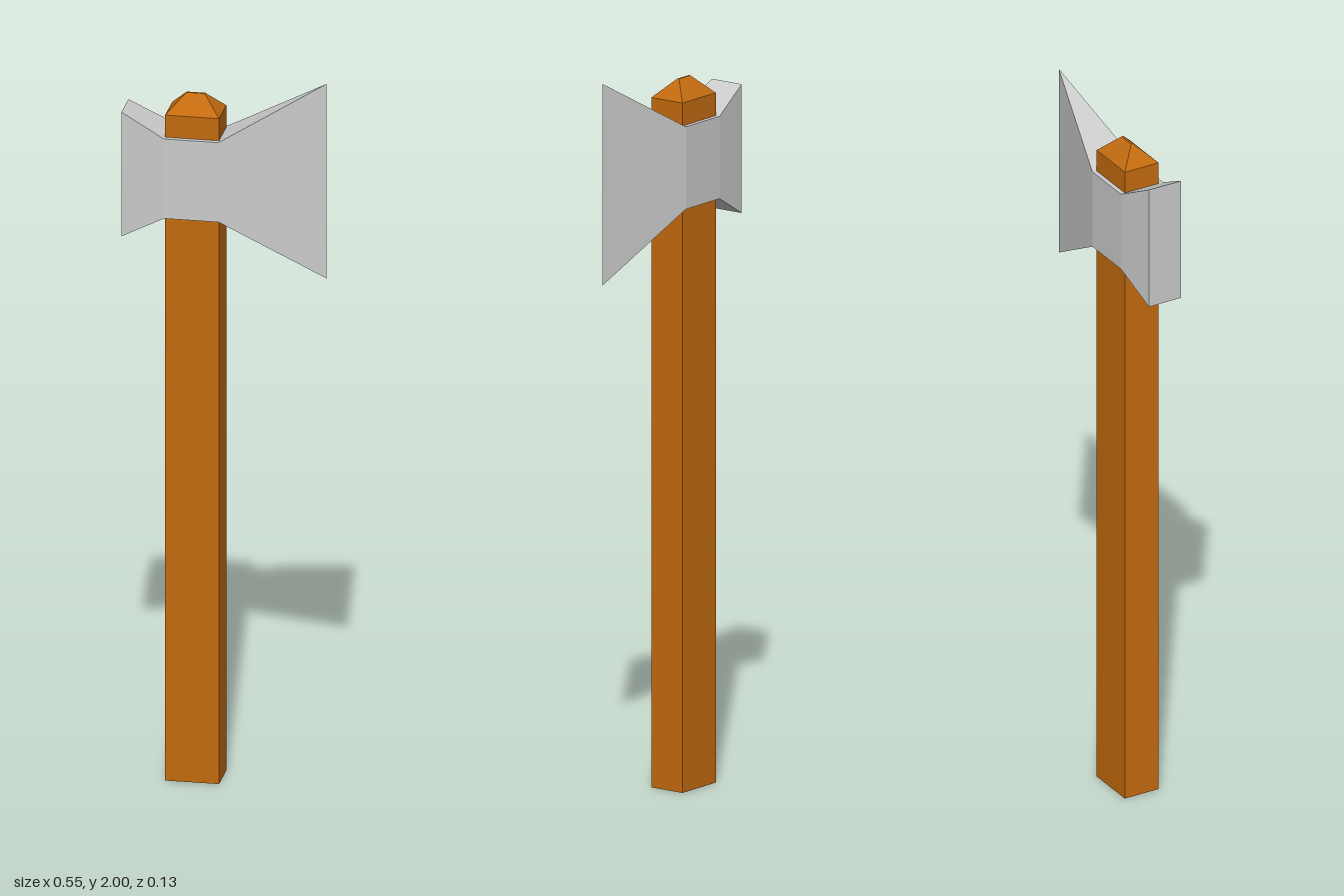
import * as THREE from 'three';

const grey = new THREE.MeshStandardMaterial({ color: 0xcccccc, flatShading: true });
const wood = new THREE.MeshStandardMaterial({ color: 0xc36b0f, flatShading: true });

// Moves every vertex of a unit box by a rule and recomputes flat normals.
function shapedBox(name, material, segments, rule) {
  const geometry = new THREE.BoxGeometry(1, 1, 1, ...segments);
  const position = geometry.attributes.position;
  const v = new THREE.Vector3();
  for (let i = 0; i < position.count; i++) {
    rule(v.fromBufferAttribute(position, i));
    position.setXYZ(i, v.x, v.y, v.z);
  }
  geometry.computeVertexNormals();
  const mesh = new THREE.Mesh(geometry, material);
  mesh.name = name;
  return mesh;
}

export function createModel() {
  const model = new THREE.Group();
  model.name = 'axe';
  const centreX = -0.0825, centreZ = -0.002;

  // Square handle with a grey underside (box face order: +x, -x, +y, -y, +z, -z)
  model.add(shapedBox('handle', [wood, wood, wood, grey, wood, wood], [1, 1, 1], (v) => {
    v.set(centreX + v.x * 0.147, (v.y + 0.5) * 1.9, centreZ + v.z * 0.105);
  }));

  // Tapered cap ending in a narrow ridge
  model.add(shapedBox('handleCap', wood, [1, 1, 1], (v) => {
    const top = v.y > 0;
    v.set(
      centreX + v.x * (top ? 0.05 : 0.147),
      top ? 1.95 : 1.9,
      (top ? -0.003 : centreZ) + v.z * (top ? 0.006 : 0.105)
    );
  }));

  // Axe head: four cross-sections from the blunt poll to the cutting edge
  const sections = [
    { x: -0.275, low: 1.545, high: 1.9, half: 0.05 },
    { x: -0.156, low: 1.61, high: 1.837, half: 0.066 },
    { x: -0.008, low: 1.61, high: 1.837, half: 0.066 },
    { x: 0.274, low: 1.445, high: 2.0, half: 0.0005 },
  ];
  model.add(shapedBox('axeHead', grey, [3, 1, 1], (v) => {
    const s = sections[Math.round((v.x + 0.5) * 3)];
    v.set(s.x, v.y > 0 ? s.high : s.low, -0.001 + Math.sign(v.z) * s.half);
  }));

  return model;
}
